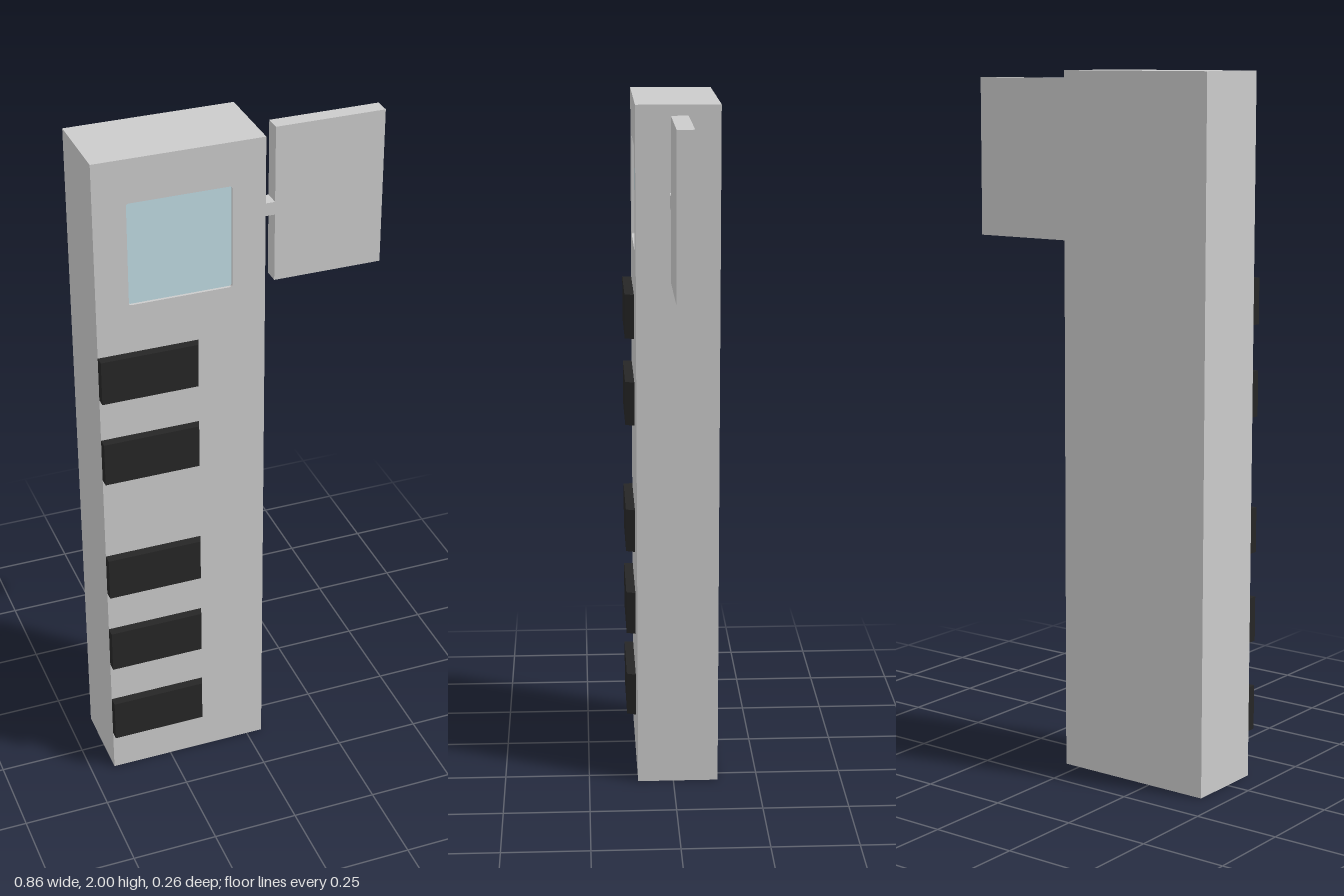
import * as THREE from 'three';

const grey = new THREE.MeshStandardMaterial({ color: 0xcccccc, flatShading: true });
const black = new THREE.MeshStandardMaterial({ color: 0x262626, flatShading: true });
const blue = new THREE.MeshStandardMaterial({ color: 0xc0dce4, flatShading: true });

// Box given by its minimum and maximum corners
function box(name, [x0, y0, z0], [x1, y1, z1], material) {
  const mesh = new THREE.Mesh(new THREE.BoxGeometry(x1 - x0, y1 - y0, z1 - z0), material);
  mesh.position.set((x0 + x1) / 2, (y0 + y1) / 2, (z0 + z1) / 2);
  mesh.name = name;
  return mesh;
}

// Rectangle with slightly rounded corners
function roundedRect(path, x0, y0, x1, y1, r) {
  path.absarc(x1 - r, y1 - r, r, 0, Math.PI / 2);
  path.absarc(x0 + r, y1 - r, r, Math.PI / 2, Math.PI);
  path.absarc(x0 + r, y0 + r, r, Math.PI, Math.PI * 1.5);
  path.absarc(x1 - r, y0 + r, r, Math.PI * 1.5, Math.PI * 2);
  path.closePath();
  return path;
}

export function createModel() {
  const model = new THREE.Group();
  model.name = 'towerWithPanel';

  const left = -0.43, right = 0.048, back = -0.132, front = 0.105, recess = 0.01;

  // Tower: solid core with a front plate that frames the sunken window
  const tower = new THREE.Group();
  tower.name = 'tower';
  tower.add(box('towerCore', [left, 0, back], [right, 2, front - recess], grey));
  const plate = new THREE.Shape([
    new THREE.Vector2(left, 0), new THREE.Vector2(right, 0),
    new THREE.Vector2(right, 2), new THREE.Vector2(left, 2),
  ]);
  const windowArea = [-0.338, 1.578, -0.046, 1.875, 0.007];
  plate.holes.push(roundedRect(new THREE.Path(), ...windowArea));
  const plateMesh = new THREE.Mesh(
    new THREE.ExtrudeGeometry(plate, { depth: recess, bevelEnabled: false, curveSegments: 3 }), grey);
  plateMesh.position.z = front - recess;
  plateMesh.name = 'frontPlate';
  tower.add(plateMesh);
  model.add(tower);

  // Window pane at the bottom of the recess
  const pane = new THREE.Mesh(
    new THREE.ShapeGeometry(roundedRect(new THREE.Shape(), ...windowArea), 3), blue);
  pane.position.z = front - recess + 0.002;
  pane.name = 'windowPane';
  model.add(pane);

  // Raised bars, each with a slanted inner end
  const profile = new THREE.Shape([
    new THREE.Vector2(left, -front), new THREE.Vector2(left, -0.132),
    new THREE.Vector2(-0.155, -0.132), new THREE.Vector2(-0.145, -front),
  ]);
  const barGeometry = new THREE.ExtrudeGeometry(profile, { depth: 0.13, bevelEnabled: false });
  barGeometry.rotateX(-Math.PI / 2);
  const bars = new THREE.Group();
  bars.name = 'bars';
  [0.133, 0.395, 0.655, 1.045, 1.305].forEach((y, i) => {
    const bar = new THREE.Mesh(barGeometry, black);
    bar.position.y = y;
    bar.name = `bar${i + 1}`;
    bars.add(bar);
  });
  model.add(bars);

  // Side panel on a short arm
  model.add(box('panelArm', [right, 1.72, -0.038], [0.113, 1.758, 0.01], grey));
  model.add(box('sidePanel', [0.113, 1.52, -0.038], [0.43, 1.977, 0.01], grey));

  return model;
}
